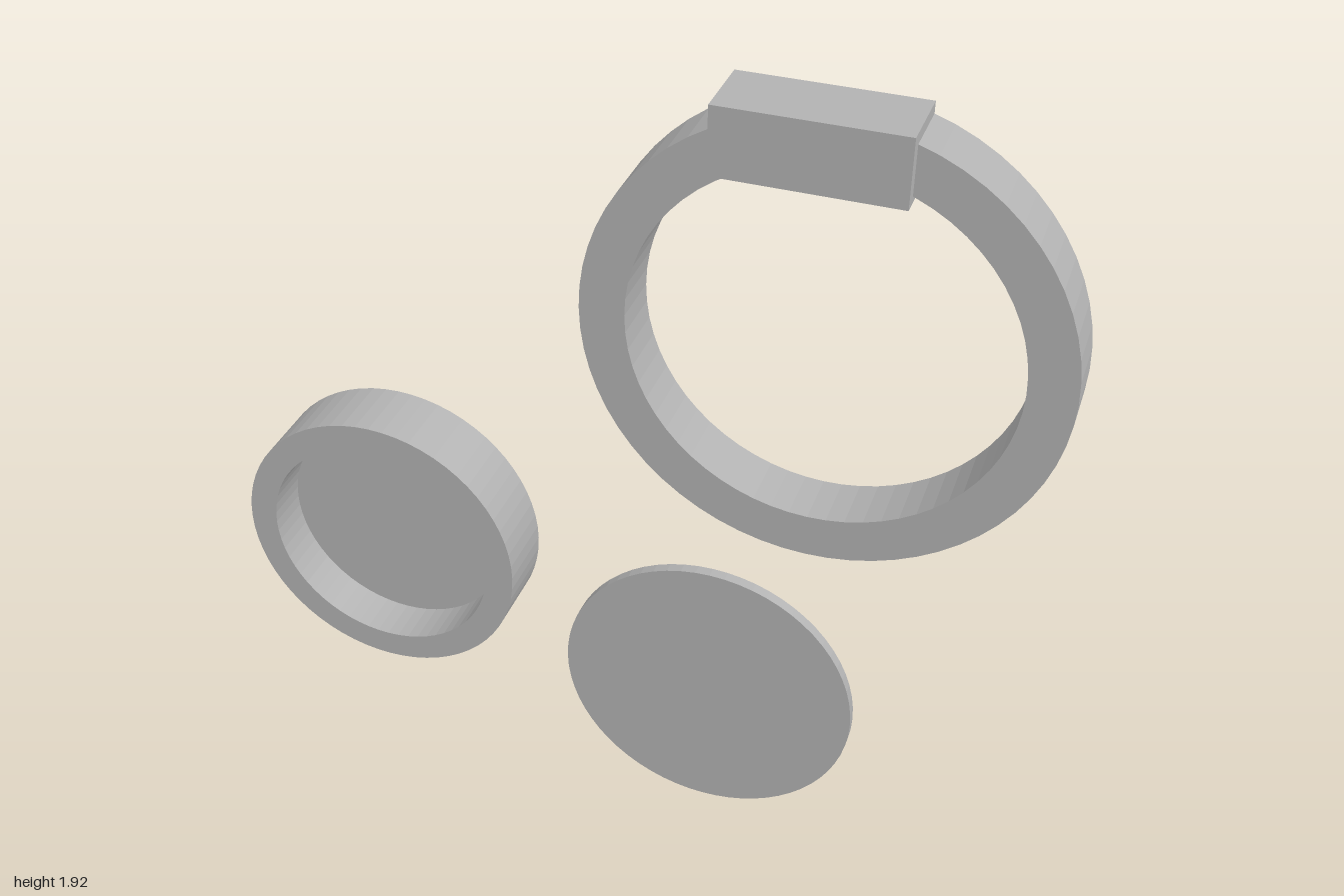
import * as THREE from 'three';

export function createModel() {
  const model = new THREE.Group();
  const grey = new THREE.MeshStandardMaterial({ color: 0xb2b2b2 });
  const BACK = -0.092;

  // Faceted turned part: profile of [radius, z], spun about the z axis
  function turned(name, profile, x, y) {
    const points = profile.map(([r, z]) => new THREE.Vector2(r, z));
    const geometry = new THREE.LatheGeometry(points, 64).rotateX(Math.PI / 2).toNonIndexed();
    geometry.computeVertexNormals();
    const mesh = new THREE.Mesh(geometry, grey);
    mesh.name = name;
    mesh.position.set(x, y, 0);
    model.add(mesh);
  }

  // Large open ring
  turned('ring', [
    [0.44, BACK], [0.547, BACK], [0.547, 0.05], [0.44, 0.05], [0.44, BACK],
  ], 0.453, 1.37);

  // Block set across the top of the ring
  const block = new THREE.Mesh(new THREE.BoxGeometry(0.417, 0.158, 0.172), grey);
  block.name = 'ringBlock';
  block.position.set(0.409, 1.84, BACK + 0.086);
  model.add(block);

  // Shallow round cup, open to the front
  turned('cup', [
    [0, BACK], [0.364, BACK], [0.364, 0.08], [0.293, 0.08], [0.293, -0.035], [0, -0.035],
  ], -0.636, 0.559);

  // Thin flat lid
  turned('lid', [
    [0, 0.066], [0.364, 0.066], [0.364, 0.092], [0, 0.092],
  ], 0.241, 0.364);

  return model;
}
